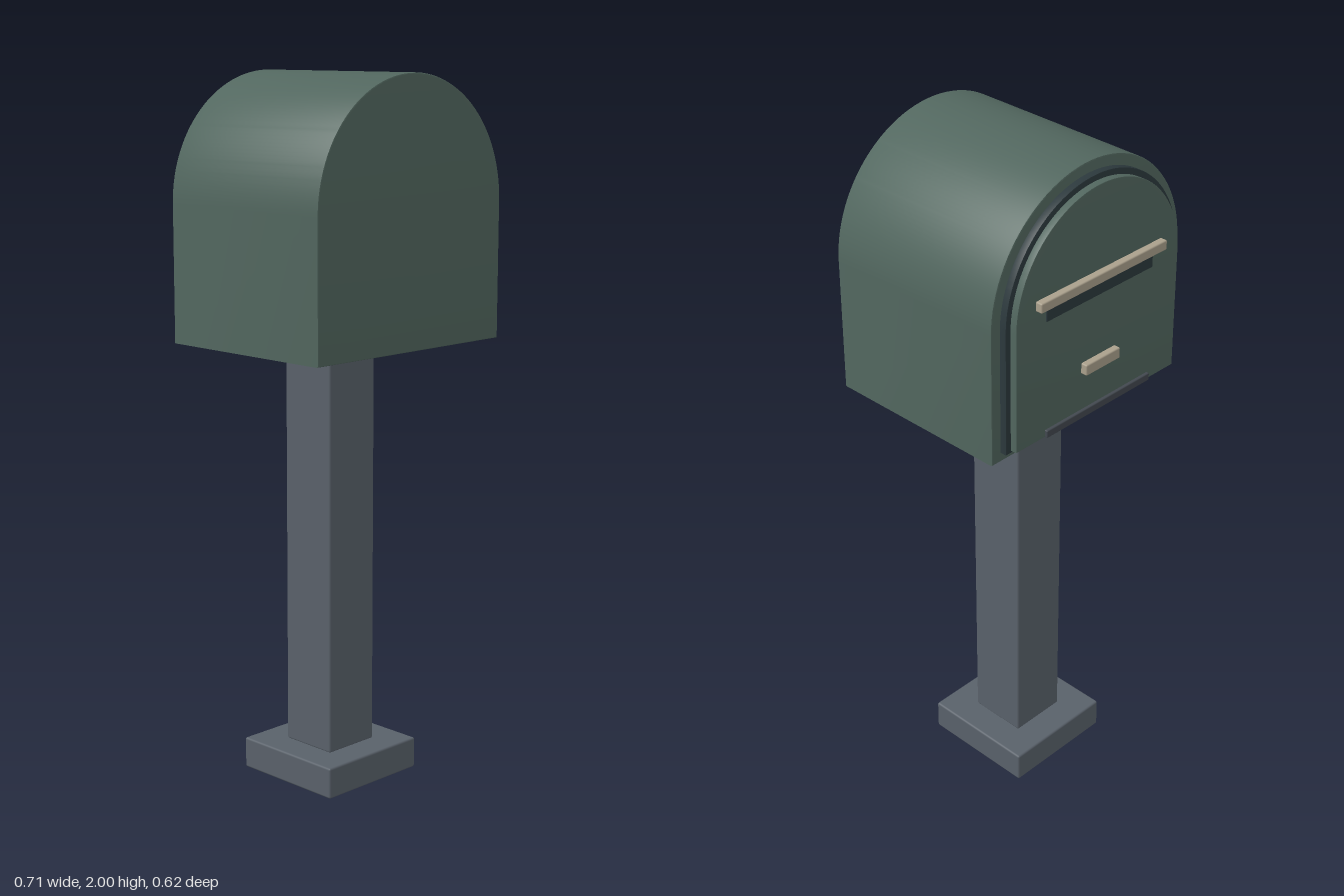
import * as THREE from 'three';
import { toCreasedNormals } from 'three/addons/utils/BufferGeometryUtils.js';
import { RoundedBoxGeometry } from 'three/addons/geometries/RoundedBoxGeometry.js';

const ARCH_Y = 1.647; // centre height of the arched top

export function createModel() {
  const group = new THREE.Group();
  const paint = (color) => new THREE.MeshStandardMaterial({ color });
  const green = paint(0x52675f);
  const dark = paint(0x2c393d);
  const steel = paint(0x59616a);
  const slate = paint(0x42484f);
  const brass = paint(0xaaa08c);

  function add(name, geometry, material) {
    const mesh = new THREE.Mesh(geometry, material);
    mesh.name = name;
    group.add(mesh);
  }

  // Round-topped slab between two z planes, with a small bevelled edge
  function arch(name, halfWidth, bottom, z0, z1, bevel, material) {
    const r = halfWidth - bevel;
    const shape = new THREE.Shape();
    shape.moveTo(-r, bottom + bevel);
    shape.lineTo(r, bottom + bevel);
    shape.lineTo(r, ARCH_Y);
    shape.absarc(0, ARCH_Y, r, 0, Math.PI, false);
    shape.closePath();
    const geometry = new THREE.ExtrudeGeometry(shape, {
      depth: z1 - z0 - 2 * bevel,
      curveSegments: 48,
      bevelThickness: bevel,
      bevelSize: bevel,
      bevelSegments: 2,
    });
    geometry.translate(0, 0, z0 + bevel);
    add(name, toCreasedNormals(geometry, 0.45), material);
  }

  // Centred box given by full width and its y and z ranges
  function box(name, width, y0, y1, z0, z1, radius, material) {
    const geometry = new RoundedBoxGeometry(width, y1 - y0, z1 - z0, 2, radius);
    geometry.translate(0, (y0 + y1) / 2, (z0 + z1) / 2);
    add(name, geometry, material);
  }

  // Stand
  box('basePlate', 0.35, 0, 0.09, -0.175, 0.175, 0.006, steel);
  box('post', 0.176, 0.088, 1.275, -0.088, 0.088, 0.006, steel);

  // Housing with a stepped door on the back
  arch('housing', 0.353, 1.264, -0.252, 0.31, 0.004, green);
  arch('doorSeal', 0.322, 1.292, -0.272, -0.245, 0.002, dark);
  arch('door', 0.305, 1.3, -0.292, -0.265, 0.002, green);

  // Door fittings
  box('mailSlot', 0.4, 1.643, 1.69, -0.296, -0.285, 0.002, dark);
  box('slotHood', 0.472, 1.686, 1.714, -0.312, -0.285, 0.004, brass);
  box('doorPull', 0.13, 1.432, 1.464, -0.311, -0.285, 0.004, brass);
  box('hinge', 0.4, 1.3, 1.322, -0.301, -0.285, 0.003, slate);

  return group;
}
